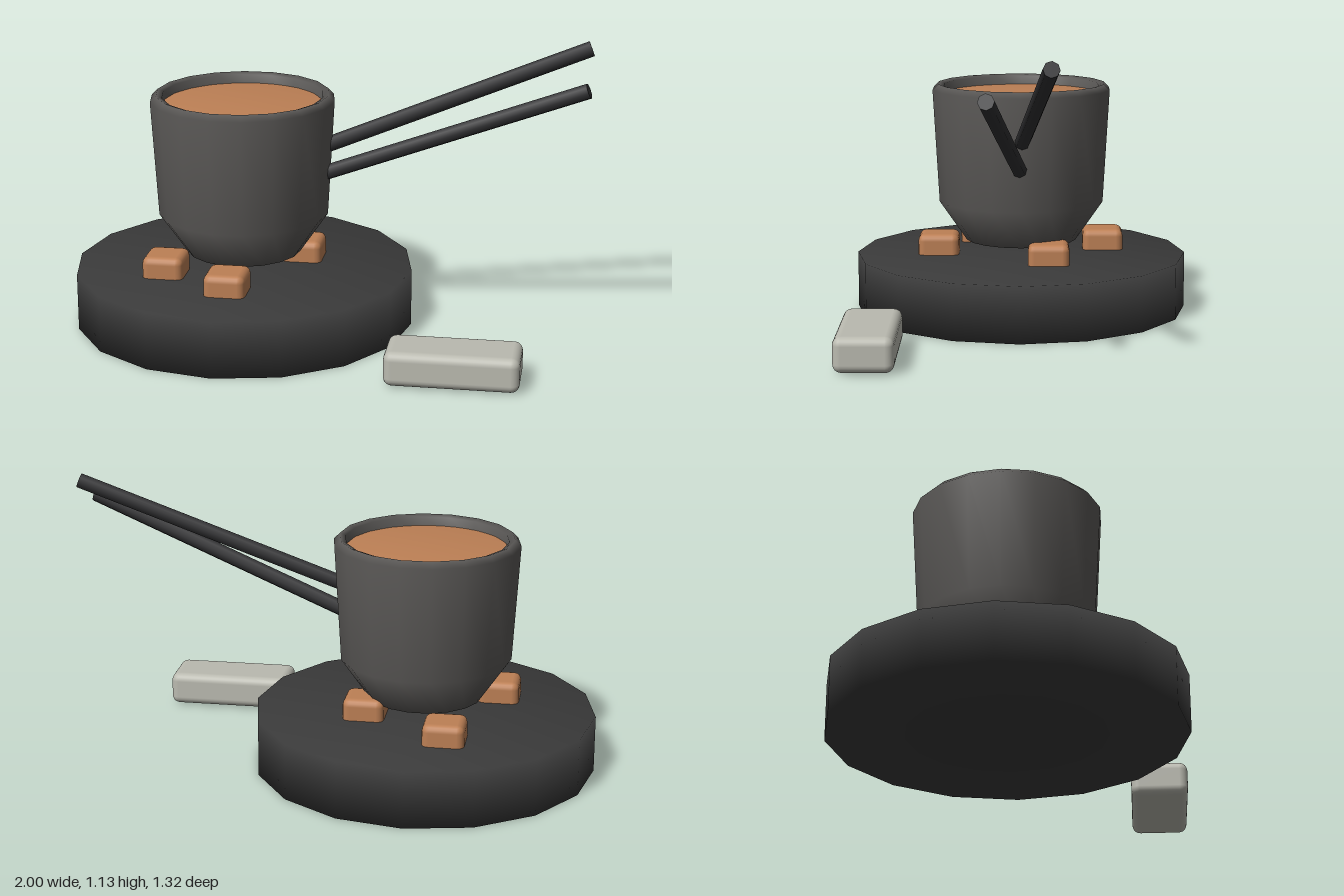
import * as THREE from 'three';
import { RoundedBoxGeometry } from 'three/addons/geometries/RoundedBoxGeometry.js';

const material = (name, color) => {
  const m = new THREE.MeshStandardMaterial({ color });
  m.name = name;
  return m;
};

export function createModel() {
  const model = new THREE.Group();
  const slate = material('slate', 0x3a3a3a);
  const clay = material('clay', 0x5c5a58);
  const lacquer = material('lacquer', 0x313133);
  const caramel = material('caramel', 0xbd8055);
  const stone = material('stone', 0xbabab0);
  const centreX = -0.338;

  const add = (name, geometry, mat, x, y, z) => {
    const mesh = new THREE.Mesh(geometry, mat);
    mesh.name = name;
    mesh.position.set(x, y, z);
    model.add(mesh);
    return mesh;
  };
  // Turned shape around the tray's axis, with a corner on the x axis
  const turned = (name, profile, sides, mat) => {
    const points = profile.map(([r, y]) => new THREE.Vector2(r, y));
    const geometry = new THREE.LatheGeometry(points, sides, Math.PI / 2);
    return add(name, geometry, mat, centreX, 0, 0);
  };

  // Round tray
  turned('tray', [[0, 0], [0.662, 0], [0.662, 0.222], [0, 0.222]], 16, slate);

  // Cup with a bevelled lip and a short inner wall
  turned('cup', [
    [0, 0.28], [0.222, 0.28], [0.332, 0.44], [0.358, 0.89],
    [0.335, 0.913], [0.312, 0.905], [0.306, 0.84],
  ], 18, clay);

  // Drink filling the cup
  turned('drink', [[0.29, 0.84], [0.308, 0.84], [0.308, 0.872], [0, 0.872]], 20, caramel);

  // Cubes around the cup's foot
  for (const [x, z] of [[-0.615, 0.168], [-0.34, 0.332], [-0.12, -0.11], [-0.452, -0.332]]) {
    add('cube', new RoundedBoxGeometry(0.16, 0.11, 0.164, 2, 0.028), caramel, x, 0.25, z);
  }

  // Rest block beside the tray
  add('restBlock', new RoundedBoxGeometry(0.495, 0.132, 0.22, 3, 0.032), stone, 0.542, 0.071, 0.55);

  // Pair of sticks leaning on the cup's side
  const up = new THREE.Vector3(0, 1, 0);
  const sticks = [
    [[-0.012, 0.715, -0.006], [0.985, 1.107, -0.112]],
    [[-0.012, 0.608, 0.004], [0.985, 0.998, 0.108]],
  ];
  for (const [from, to] of sticks) {
    const a = new THREE.Vector3(...from);
    const b = new THREE.Vector3(...to);
    const direction = b.clone().sub(a);
    const geometry = new THREE.CylinderGeometry(0.03, 0.03, direction.length(), 8);
    const middle = a.clone().add(b).multiplyScalar(0.5);
    const stick = add('stick', geometry, lacquer, middle.x, middle.y, middle.z);
    stick.quaternion.setFromUnitVectors(up, direction.normalize());
  }

  return model;
}
